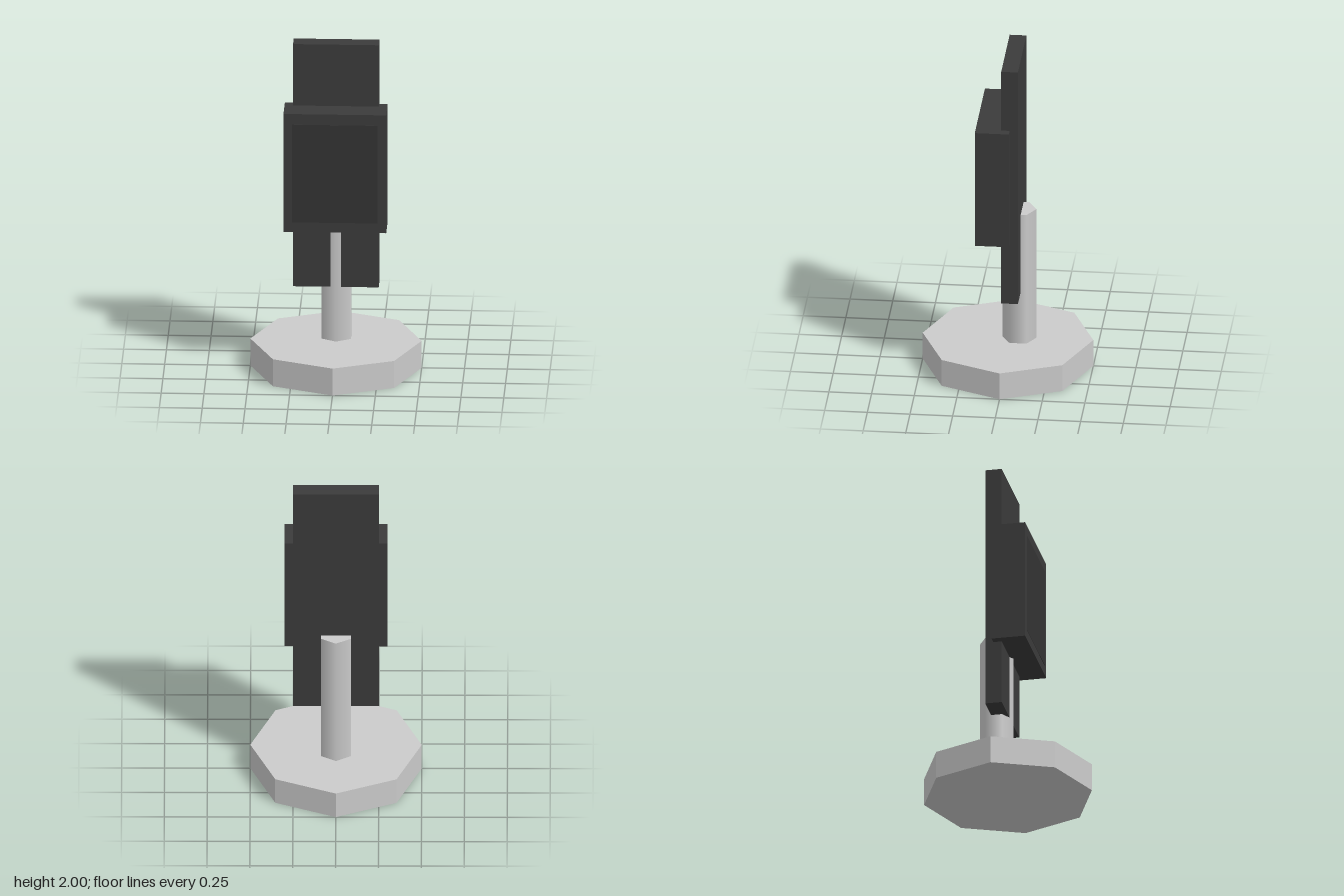
import * as THREE from 'three';

const grey = new THREE.MeshStandardMaterial({ color: 0xcccccc });
const greyFlat = new THREE.MeshStandardMaterial({ color: 0xcccccc, flatShading: true });
const dark = new THREE.MeshStandardMaterial({ color: 0x3b3b3b });
const darker = new THREE.MeshStandardMaterial({ color: 0x343434 });

export function createModel() {
  const model = new THREE.Group();
  model.name = 'displayStand';

  const add = (name, geometry, material) => {
    const mesh = new THREE.Mesh(geometry, material);
    mesh.name = name;
    model.add(mesh);
  };
  // Box centred on x, given by its y and z ranges
  const box = (width, y0, y1, z0, z1) =>
    new THREE.BoxGeometry(width, y1 - y0, z1 - z0).translate(0, (y0 + y1) / 2, (z0 + z1) / 2);

  // Octagonal foot with corners on the axes
  add('base', new THREE.CylinderGeometry(0.5, 0.5, 0.167, 8).translate(0, 0.0835, 0), greyFlat);

  // Smooth-shaded hexagonal post, one corner poking through the back plate
  add('post', new THREE.CylinderGeometry(0.1, 0.1, 0.833, 6).translate(0, 0.5835, -0.067), grey);

  // Tall plate, the thicker housing in front of it, and the inset screen
  add('backPlate', box(0.5, 0.5, 2, -0.083, 0.015), dark);
  add('housing', box(0.6, 0.89, 1.62, -0.035, 0.165), dark);
  add('screen', box(0.5, 0.95, 1.555, 0.14, 0.167), darker);

  return model;
}
